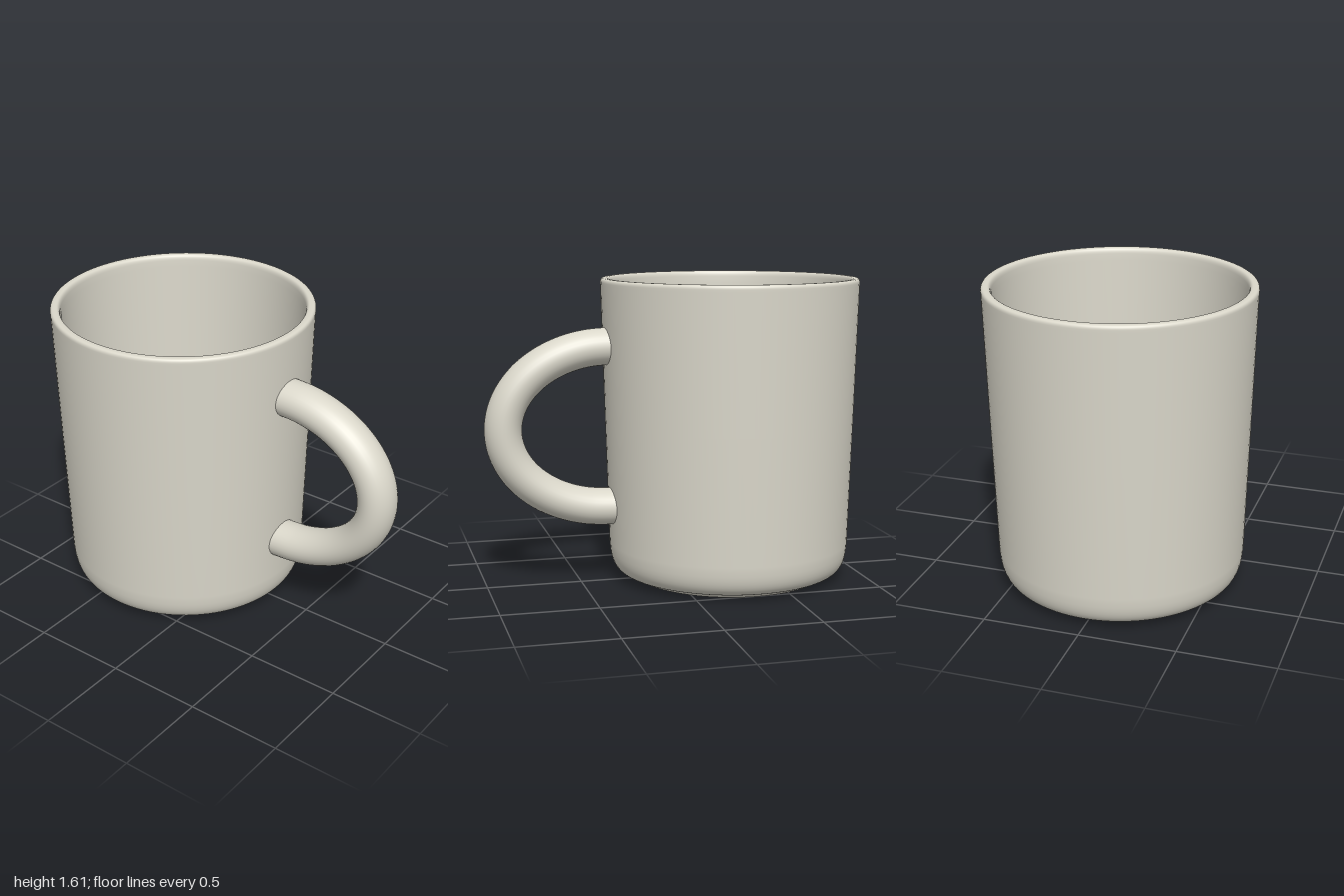
import * as THREE from 'three';

const BODY_X = -0.315;

// Quarter-round corner between two profile points, bending around a control point
function corner(from, control, to, steps = 8) {
  return new THREE.QuadraticBezierCurve(
    new THREE.Vector2(...from), new THREE.Vector2(...control), new THREE.Vector2(...to)
  ).getPoints(steps);
}

export function createModel() {
  const model = new THREE.Group();
  model.name = 'mug';
  const glaze = new THREE.MeshStandardMaterial({ color: 0xdad7ca });
  glaze.name = 'warm white glaze';

  // Body: one closed profile, from the underside up the outside and down the inside
  const profile = [
    new THREE.Vector2(0, 0.05),
    new THREE.Vector2(0.4, 0.05),
    ...corner([0.41, 0.05], [0.45, 0.045], [0.46, 0.012], 5),
    ...corner([0.465, 0.005], [0.49, -0.005], [0.515, 0.002], 4),
    ...corner([0.525, 0.008], [0.535, 0.025], [0.56, 0.027], 4),
    ...corner([0.562, 0.0275], [0.635, 0.04], [0.643, 0.165], 10),
    new THREE.Vector2(0.645, 0.19),
    new THREE.Vector2(0.665, 0.85),
    new THREE.Vector2(0.685, 1.57),
    ...corner([0.6855, 1.583], [0.686, 1.605], [0.665, 1.605], 6),
    ...corner([0.655, 1.605], [0.637, 1.605], [0.635, 1.575], 6),
    new THREE.Vector2(0.633, 1.54),
    new THREE.Vector2(0.612, 0.85),
    new THREE.Vector2(0.592, 0.23),
    ...corner([0.59, 0.21], [0.585, 0.1], [0.48, 0.1], 10),
    new THREE.Vector2(0.46, 0.1),
    new THREE.Vector2(0, 0.1),
  ];
  const body = new THREE.Mesh(new THREE.LatheGeometry(profile, 96), glaze);
  body.name = 'body';
  body.position.x = BODY_X;
  model.add(body);

  // Handle: half-ellipse loop whose ends sink into the wall
  const path = [new THREE.Vector3(0.325, 1.256, 0)];
  for (let i = 0; i <= 16; i++) {
    const a = Math.PI / 2 - (i / 16) * Math.PI;
    path.push(new THREE.Vector3(0.35 + 0.552 * Math.cos(a), 0.83 + 0.426 * Math.sin(a), 0));
  }
  path.push(new THREE.Vector3(0.305, 0.404, 0));
  const handleGeometry = new THREE.TubeGeometry(new THREE.CatmullRomCurve3(path), 72, 0.098, 32);
  handleGeometry.scale(1, 1, 1.14);
  const handle = new THREE.Mesh(handleGeometry, glaze);
  handle.name = 'handle';
  model.add(handle);

  return model;
}
